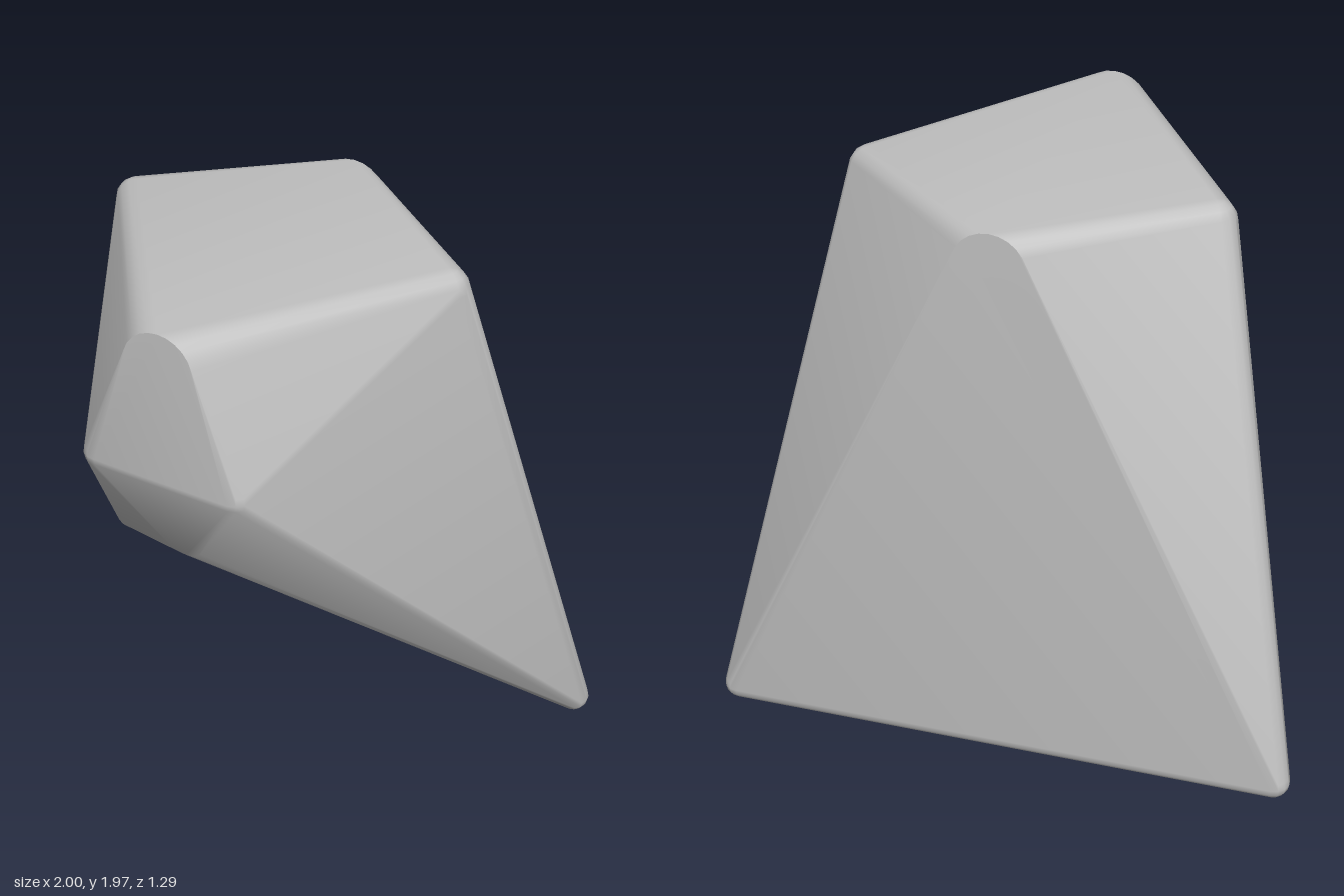
import * as THREE from 'three';
import { toCreasedNormals } from 'three/addons/utils/BufferGeometryUtils.js';
import { ConvexGeometry } from 'three/addons/geometries/ConvexGeometry.js';

// Points on a ball, used for corners rounded in every direction
function ball(points, x, y, z, r) {
  const rows = 8, cols = 14;
  const centre = new THREE.Vector3(x, y, z);
  for (let i = 0; i <= rows; i++) {
    const phi = (Math.PI * i) / rows;
    const count = i === 0 || i === rows ? 1 : cols;
    for (let j = 0; j < count; j++) {
      const p = new THREE.Vector3().setFromSphericalCoords(r, phi, (2 * Math.PI * j) / cols + 0.1);
      points.push(p.add(centre));
    }
  }
}

// Points on an arc, used for flat tips; lean is the change of z per unit of y
function tip(points, y, z, r, lean, sign) {
  const steps = 12;
  for (let i = 0; i <= steps; i++) {
    const a = (Math.PI * i) / steps;
    const rise = sign * r * Math.sin(a);
    points.push(new THREE.Vector3(r * Math.cos(a), y + rise, z + lean * rise));
  }
}

export function createModel() {
  const stone = new THREE.MeshStandardMaterial({ color: 0xc0c0c0 });
  stone.name = 'stone grey';

  const points = [];
  // Long lower corners at the back
  ball(points, -0.945, 0.157, -0.59, 0.055);
  ball(points, 0.945, 0.055, -0.59, 0.055);
  for (const side of [-1, 1]) {
    // Upper side corners
    ball(points, side * 0.555, 1.89, -0.14, 0.07);
    // Corners of the front facet
    ball(points, side * 0.235, 1.46, 0.585, 0.06);
  }
  // Flat rounded tips: back top, front top and lower front
  tip(points, 1.85, -0.586, 0.12, 0.034, 1);
  tip(points, 1.85, 0.625, 0.12, -0.04, 1);
  tip(points, 1.15, 0.525, 0.07, 0.37, -1);

  const geometry = toCreasedNormals(new ConvexGeometry(points), 0.6);
  const body = new THREE.Mesh(geometry, stone);
  body.name = 'facetedStone';

  const group = new THREE.Group();
  group.name = 'stone';
  group.add(body);
  return group;
}
